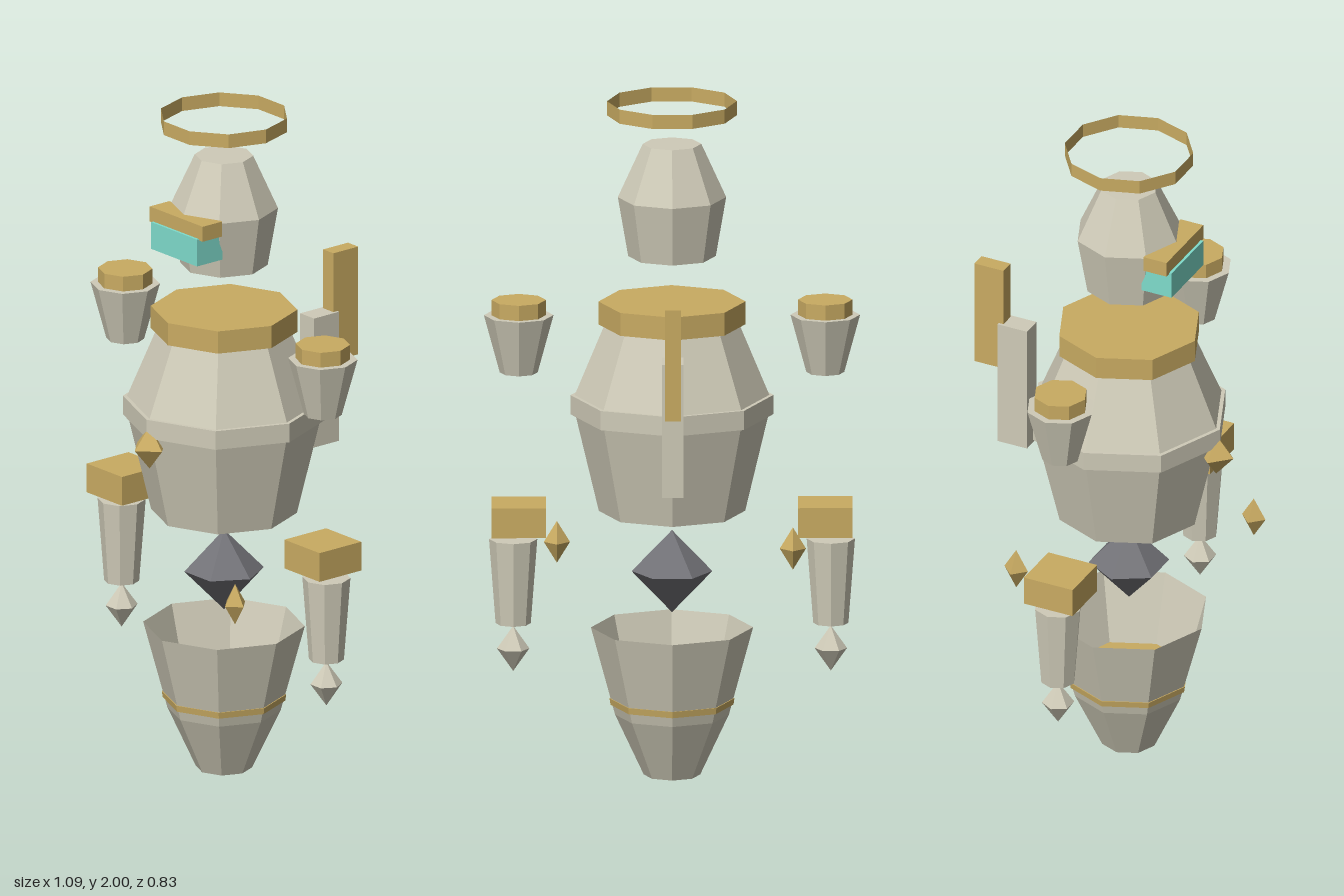
import * as THREE from 'three';

const material = (color) =>
  new THREE.MeshStandardMaterial({ color, flatShading: true, side: THREE.DoubleSide });

export function createModel() {
  const model = new THREE.Group();
  model.name = 'floatingGuardian';
  const stone = material(0xcfcbb8);
  const gold = material(0xc9ab62);
  const teal = material(0x7fdccc);
  const dark = material(0x737378);
  const AXIS_Z = 0.073; // depth of the main vertical axis

  function add(name, geometry, mat, x, y, z) {
    const mesh = new THREE.Mesh(geometry, mat);
    mesh.name = name;
    mesh.position.set(x, y, z);
    model.add(mesh);
    return mesh;
  }

  // Faceted shell from [radius, y] pairs, standing on its own axis
  function shell(name, mat, profile, x = 0, sides = 8) {
    const points = profile.map(([r, y]) => new THREE.Vector2(r, y));
    return add(name, new THREE.LatheGeometry(points, sides), mat, x, 0, AXIS_Z);
  }

  // Double-pointed crystal
  function gem(name, mat, x, y, z, radius, halfHeight, sides = 4) {
    const points = [[0, -halfHeight], [radius, 0], [0, halfHeight]].map(([r, h]) => new THREE.Vector2(r, h));
    const geometry = new THREE.LatheGeometry(points, sides);
    geometry.rotateY(Math.PI / 2);
    return add(name, geometry, mat, x, y, z);
  }

  // Box given by its limits in each direction
  function block(name, mat, [x0, x1], [y0, y1], [z0, z1]) {
    const geometry = new THREE.BoxGeometry(x1 - x0, y1 - y0, z1 - z0);
    return add(name, geometry, mat, (x0 + x1) / 2, (y0 + y1) / 2, (z0 + z1) / 2);
  }

  // Open-topped skirt with a gold inlay
  shell('skirt', stone, [[0, 0], [0.082, 0], [0.165, 0.178], [0.235, 0.437]]);
  shell('skirtBand', gold, [[0, 0.207], [0.178, 0.207], [0.181, 0.226], [0, 0.226]]);

  // Core crystal between skirt and torso
  gem('coreCrystal', dark, 0, 0.604, AXIS_Z, 0.117, 0.122, 6);

  // Torso, open below, with a raised waist band and gold collar
  shell('torso', stone, [
    [0.212, 0.783], [0.28, 1.07], [0.294, 1.07], [0.294, 1.127], [0.282, 1.127], [0.195, 1.337],
  ]);
  shell('collar', gold, [[0, 1.337], [0.213, 1.337], [0.213, 1.405], [0, 1.405]]);
  gem('chestGem', gold, 0, 1.04, 0.355, 0.056, 0.065);

  // Head, open below, with visor and brow
  shell('head', stone, [[0.127, 1.54], [0.157, 1.715], [0.085, 1.873], [0, 1.873]]);
  block('visor', teal, [-0.103, 0.103], [1.6, 1.682], [0.165, 0.262]);
  block('brow', gold, [-0.119, 0.119], [1.678, 1.724], [0.18, 0.254]);

  // Thin halo ring
  const halo = new THREE.CylinderGeometry(0.188, 0.188, 0.042, 10, 1, true);
  halo.rotateY(Math.PI / 2);
  add('halo', halo, gold, 0, 1.979, AXIS_Z);

  // Upright slabs behind the back
  block('backSlabLower', stone, [-0.031, 0.031], [0.915, 1.31], [-0.337, -0.242]);
  block('backSlabUpper', gold, [-0.023, 0.023], [1.16, 1.49], [-0.416, -0.322]);

  // Floating arms
  for (const [side, s] of [['left', 1], ['right', -1]]) {
    const x = s * 0.444;
    shell(side + 'Shoulder', stone, [[0, 1.195], [0.055, 1.195], [0.101, 1.365], [0, 1.365]], x);
    shell(side + 'ShoulderCap', gold, [[0, 1.36], [0.079, 1.36], [0.079, 1.41], [0, 1.41]], x);
    block(side + 'Cuff', gold, [x - 0.079, x + 0.079], [0.72, 0.808], [AXIS_Z - 0.079, AXIS_Z + 0.079]);
    shell(side + 'Forearm', stone, [[0.051, 0.45], [0.07, 0.7], [0, 0.7]], s * 0.46);
    gem(side + 'HandCrystal', stone, s * 0.46, 0.375, AXIS_Z, 0.047, 0.067, 6);
  }

  // Small drifting crystals
  gem('rearCrystal', gold, -0.349, 0.714, -0.118, 0.038, 0.063);
  gem('frontCrystal', gold, 0.332, 0.637, 0.311, 0.038, 0.062);

  return model;
}
